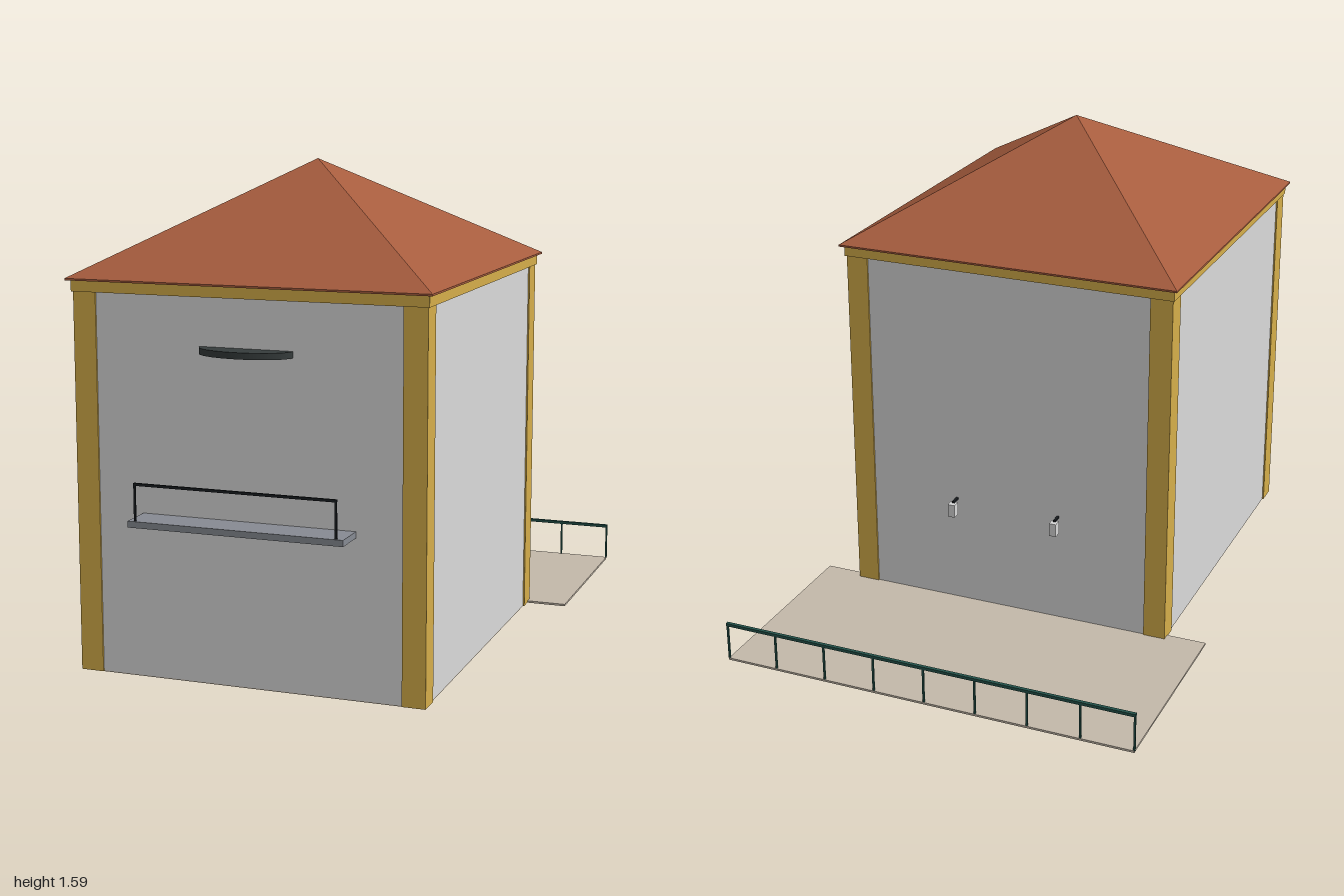
import * as THREE from 'three';

const mat = (name, color) => {
  const m = new THREE.MeshStandardMaterial({ color });
  m.name = name;
  return m;
};

export function createModel() {
  const model = new THREE.Group();
  model.name = 'house';
  const wall = mat('light grey wall', 0xdadada);
  const ochre = mat('ochre trim', 0xd6ae4a);
  const tile = mat('terracotta roof', 0xa65c3e);
  const paving = mat('beige paving', 0xc4b9aa);
  const slate = mat('slate slab', 0x878b93);
  const dark = mat('dark canopy', 0x363c3c);
  const iron = mat('black iron', 0x1a1e22);
  const green = mat('green rail', 0x23524a);

  const add = (name, geometry, material, x = 0, y = 0, z = 0, parent = model) => {
    const mesh = new THREE.Mesh(geometry, material);
    mesh.name = name;
    mesh.position.set(x, y, z);
    parent.add(mesh);
    return mesh;
  };
  // Box given by its extents on each axis
  const box = (name, material, [x0, x1], [y0, y1], [z0, z1], parent) =>
    add(name, new THREE.BoxGeometry(x1 - x0, y1 - y0, z1 - z0), material,
      (x0 + x1) / 2, (y0 + y1) / 2, (z0 + z1) / 2, parent);

  const cz = 0.278; // house centre along z
  const hx = 0.57, hz = 0.616; // half footprint

  // Main body on a thin base plate
  box('walls', wall, [-hx + 0.005, hx - 0.005], [0.003, 1.24], [cz - hz + 0.005, cz + hz - 0.005]);
  box('basePlate', paving, [-hx + 0.005, hx - 0.005], [0, 0.003], [cz - hz + 0.005, cz + hz - 0.005]);

  // Corner pilasters and the band below the eaves
  const trim = new THREE.Group();
  trim.name = 'trim';
  model.add(trim);
  for (const sx of [-1, 1]) for (const sz of [-1, 1]) {
    add('cornerPilaster', new THREE.BoxGeometry(0.075, 1.206, 0.075), ochre,
      sx * (hx - 0.0375), 0.604, cz + sz * (hz - 0.0375), trim);
  }
  box('eavesBand', ochre, [-0.575, 0.575], [1.205, 1.242], [cz - 0.621, cz + 0.621], trim);

  // Pyramid roof with a thin eaves edge
  box('roofEdge', tile, [-0.588, 0.588], [1.24, 1.246], [cz - 0.636, cz + 0.636]);
  const pyramid = new THREE.CylinderGeometry(0, Math.SQRT2, 0.344, 4, 1, true).toNonIndexed();
  pyramid.rotateY(Math.PI / 4).scale(0.588, 1, 0.636);
  pyramid.computeVertexNormals();
  add('roof', pyramid, tile, 0, 1.246 + 0.172, cz);

  // Half-oval canopy on the front
  const canopy = new THREE.CylinderGeometry(1, 1, 0.02, 32, 1, false, -Math.PI / 2, Math.PI);
  canopy.scale(0.15, 1, 0.08);
  add('canopy', canopy, dark, 0, 1.045, 0.887);

  // Front balcony with a single-bar railing
  const balcony = new THREE.Group();
  balcony.name = 'balcony';
  model.add(balcony);
  box('balconySlab', slate, [-0.348, 0.348], [0.505, 0.525], [0.885, 1], balcony);
  box('balconyRail', iron, [-0.327, 0.327], [0.636, 0.644], [0.991, 0.999], balcony);
  for (const s of [-1, 1]) {
    add('balconyPost', new THREE.BoxGeometry(0.006, 0.113, 0.006), iron, s * 0.324, 0.581, 0.995, balcony);
  }

  // Back terrace with a railing along its far edge
  const terrace = new THREE.Group();
  terrace.name = 'terrace';
  model.add(terrace);
  box('terraceFloor', paving, [-0.705, 0.705], [0, 0.007], [-0.998, -0.31], terrace);
  box('terraceRail', green, [-0.707, 0.707], [0.126, 0.136], [-1, -0.988], terrace);
  for (let i = 0; i <= 8; i++) {
    add('terracePost', new THREE.BoxGeometry(0.006, 0.122, 0.006), green,
      -0.704 + i * 0.176, 0.067, -0.994, terrace);
  }

  // Two wall lamps above the terrace
  for (const s of [-1, 1]) {
    const lamp = new THREE.Group();
    lamp.name = 'wallLamp';
    lamp.position.x = s * 0.185;
    model.add(lamp);
    box('lampBody', wall, [-0.012, 0.012], [0.335, 0.38], [-0.383, -0.355], lamp);
    box('lampArm', iron, [-0.004, 0.004], [0.38, 0.387], [-0.366, -0.33], lamp);
  }
  return model;
}
